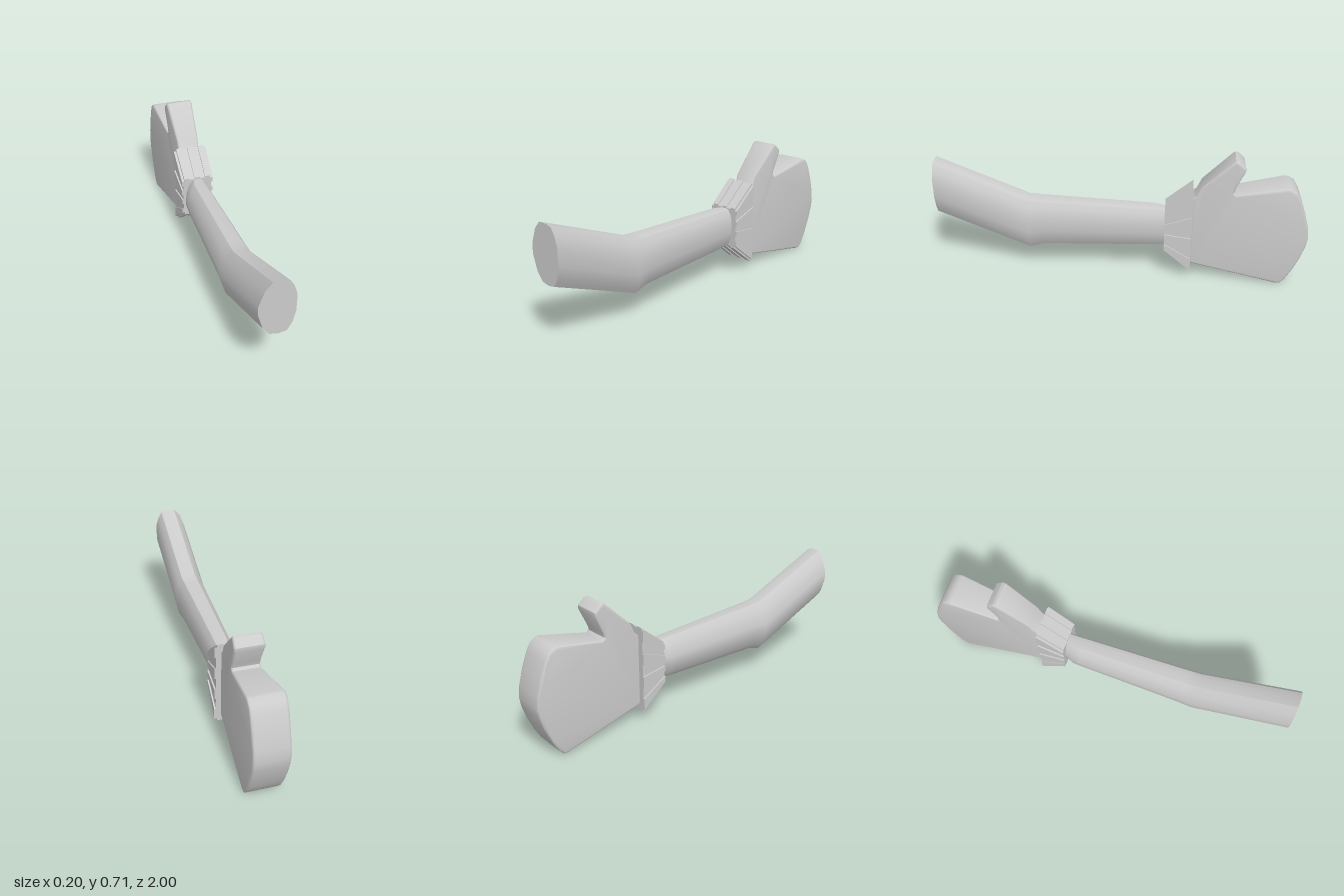
import * as THREE from 'three';
import { toCreasedNormals } from 'three/addons/utils/BufferGeometryUtils.js';

const material = new THREE.MeshStandardMaterial({ color: 0xcccccc });

function addMesh(parent, name, geometry, crease) {
  const mesh = new THREE.Mesh(toCreasedNormals(geometry, crease), material);
  mesh.name = name;
  parent.add(mesh);
}

// Closed skin over convex loops: counter-clockwise seen from +z, ordered towards -z
function loft(loops) {
  const n = loops[0].length, last = loops.length - 1, pos = [];
  const tri = (a, b, c) => pos.push(...a, ...b, ...c);
  for (let s = 0; s < last; s++) {
    for (let i = 0; i < n; i++) {
      const j = (i + 1) % n, a = loops[s], b = loops[s + 1];
      tri(a[i], b[i], a[j]);
      tri(b[i], b[j], a[j]);
    }
  }
  for (let i = 1; i < n - 1; i++) {
    tri(loops[0][0], loops[0][i], loops[0][i + 1]);
    tri(loops[last][0], loops[last][i + 1], loops[last][i]);
  }
  const g = new THREE.BufferGeometry();
  g.setAttribute('position', new THREE.Float32BufferAttribute(pos, 3));
  return g;
}

// Sleeve cross-section, in units of half width and half height
const section = [
  [1, -0.25], [1, 0.38], [0.82, 0.72], [0.6, 0.94], [0.3, 1], [-0.3, 1], [-0.68, 0.74],
  [-1, 0.2], [-1, -0.12], [-0.72, -0.66], [-0.36, -0.94], [0.12, -1], [0.58, -0.95], [0.84, -0.66],
];
// z, bottom, top, left edge, right edge
const armStations = [
  [1, 0.335, 0.635, -0.1, 0.08],
  [0.5, 0.133, 0.433, -0.1, 0.078],
  [0.42, 0.156, 0.428, -0.098, 0.075],
  [-0.15, 0.173, 0.406, -0.083, 0.062],
  [-0.19, 0.176, 0.404, -0.08, 0.06],
  [-0.23, 0.18, 0.4, -0.062, 0.058],
  [-0.26, 0.18, 0.4, -0.062, 0.058],
];

// Mitten outline as [distance behind centre, height]
const mitten = [
  [0.38, 0.09], [0.85, 0.002], [0.875, 0.003], [0.9, 0.03], [0.935, 0.09], [0.97, 0.17],
  [0.992, 0.24], [1, 0.29], [0.992, 0.35], [0.97, 0.43], [0.94, 0.51], [0.915, 0.555],
  [0.885, 0.572], [0.865, 0.575], [0.61, 0.522], [0.597, 0.533], [0.602, 0.555], [0.648, 0.655],
  [0.647, 0.675], [0.612, 0.708], [0.595, 0.711], [0.58, 0.7], [0.43, 0.555], [0.405, 0.5], [0.38, 0.48],
];

function mittenGeometry() {
  const shape = new THREE.Shape(mitten.map(([u, y]) => new THREE.Vector2(u, y)));
  const bevel = 0.012;
  const g = new THREE.ExtrudeGeometry(shape, {
    depth: 2 - 2 * 0.15, bevelThickness: 0.15, bevelSize: bevel, bevelOffset: -bevel, bevelSegments: 3,
  });
  g.translate(0, 0, -1 + 0.15);
  g.rotateY(Math.PI / 2);
  // Thicker towards the fingertips
  const p = g.attributes.position;
  for (let i = 0; i < p.count; i++) {
    const t = THREE.MathUtils.clamp((-p.getZ(i) - 0.38) / 0.49, 0, 1);
    p.setX(i, p.getX(i) * (0.058 + 0.034 * t) + 0.004);
  }
  return g;
}

// Cuff corners at one end, counter-clockwise from lower right
const cuffEnd = (z, w, bottom, top) => [
  [0.003 + w, bottom, z], [0.003 + w, top, z], [0.003 - w, top, z], [0.003 - w, bottom, z],
];

export function createModel() {
  const model = new THREE.Group();

  const arm = loft(armStations.map(([z, y0, y1, x0, x1]) =>
    section.map(([u, v]) => [(x0 + x1 + u * (x1 - x0)) / 2, (y0 + y1 + v * (y1 - y0)) / 2, z])));
  addMesh(model, 'sleeve', arm, 0.55);
  addMesh(model, 'mitten', mittenGeometry(), 0.6);

  // Flared cuff: a solid core covered with alternately raised pleats
  const cuff = new THREE.Group();
  cuff.name = 'cuff';
  model.add(cuff);
  const front = cuffEnd(-0.24, 0.076, 0.187, 0.397);
  const back = cuffEnd(-0.385, 0.08, 0.068, 0.515);
  addMesh(cuff, 'cuffCore', loft([front, back]), 0.1);

  const normals = [[1, 0], [0, 1], [-1, 0], [0, -1]];
  const mix = (a, b, t) => a.map((v, k) => v + (b[k] - v) * t);
  normals.forEach(([nx, ny], side) => {
    const count = side % 2 ? 5 : 7;
    for (let i = 0; i < count; i++) {
      const raise = i % 2 ? 0.006 : 0.014;
      const loop = (corners) => {
        const a = corners[side], b = corners[(side + 1) % 4];
        const p = mix(a, b, i / count), q = mix(a, b, (i + 1) / count);
        const out = ([x, y, z]) => [x + nx * raise, y + ny * raise, z];
        return [p, out(p), out(q), q];
      };
      addMesh(cuff, 'cuffPleat', loft([loop(front), loop(back)]), 0.1);
    }
  });
  return model;
}
